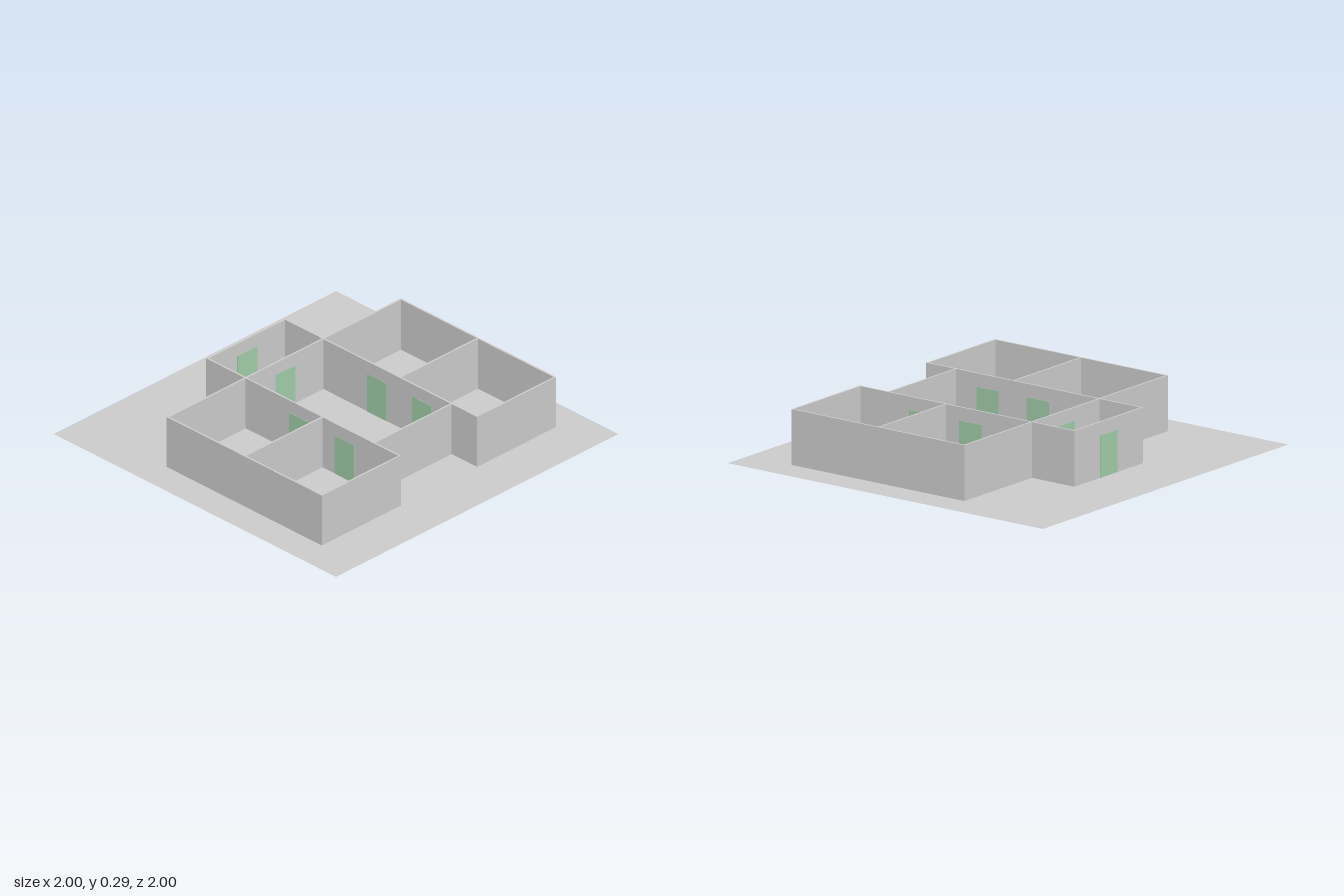
import * as THREE from 'three';

const H = 0.29;      // wall height
const T = 0.01;      // wall thickness
const DOOR_H = 0.22;
const DOOR_W = 0.14;

export function createModel() {
  const model = new THREE.Group();
  model.name = 'floorPlan';
  const grey = new THREE.MeshStandardMaterial({ color: 0xcccccc });
  const green = new THREE.MeshStandardMaterial({ color: 0xa0cca8 });

  // Box standing on the ground, centred at (x, z)
  const block = (name, w, h, d, x, z, material = grey) => {
    const mesh = new THREE.Mesh(new THREE.BoxGeometry(w, h, d), material);
    mesh.position.set(x, h / 2, z);
    mesh.name = name;
    model.add(mesh);
  };

  // Ground sheet
  const ground = new THREE.Mesh(
    new THREE.PlaneGeometry(2, 2).rotateX(-Math.PI / 2),
    new THREE.MeshStandardMaterial({ color: 0xcccccc, side: THREE.DoubleSide })
  );
  ground.name = 'groundSheet';
  model.add(ground);

  // Side wings, mirrored: two rooms each, with a door into the hall
  for (const [side, s] of [['left', 1], ['right', -1]]) {
    block(side + 'HallWall', T, H, 1.37, s * 0.275, 0.045);
    block(side + 'OuterWall', T, H, 1.1, s * 0.825, 0.18);
    for (const [name, z] of [['BackWall', -0.365], ['DividingWall', 0.18], ['FrontWall', 0.725]]) {
      block(side + name, 0.54, H, T, s * 0.55, z);
    }
    for (const [name, z] of [['BackRoomDoor', 0.02], ['FrontRoomDoor', 0.34]]) {
      block(side + name, T + 0.004, DOOR_H, DOOR_W, s * 0.275, z, green);
    }
  }

  // Cross walls of the central hall and the back porch
  for (const [name, z] of [['hallFrontWall', 0.545], ['hallBackWall', -0.365], ['porchBackWall', -0.635]]) {
    block(name, 0.54, H, T, 0, z);
  }

  // Doors on the centre line
  for (const [name, z] of [['hallBackDoor', -0.365], ['porchDoor', -0.635]]) {
    block(name, DOOR_W, DOOR_H, T + 0.004, 0, z, green);
  }

  return model;
}
